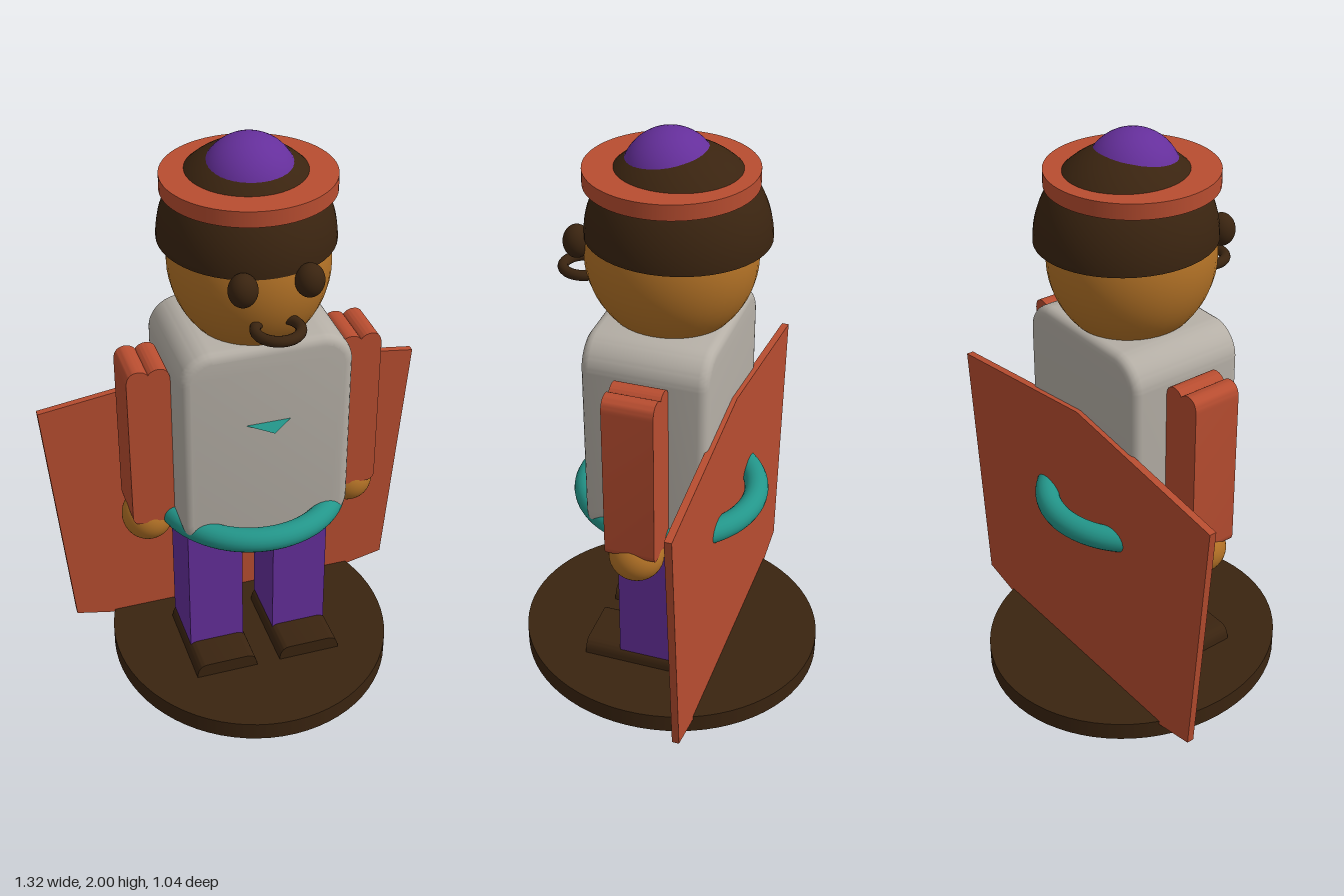
import * as THREE from 'three';
import { toCreasedNormals } from 'three/addons/utils/BufferGeometryUtils.js';

const material = (name, color, side = THREE.FrontSide) => {
  const m = new THREE.MeshStandardMaterial({ color, side });
  m.name = name;
  return m;
};

// Rectangle with rounded corners, centred on the origin
function roundedRect(w, h, r) {
  const s = new THREE.Shape();
  s.absarc(w - r, h - r, r, 0, Math.PI / 2);
  s.absarc(r - w, h - r, r, Math.PI / 2, Math.PI);
  s.absarc(r - w, r - h, r, Math.PI, Math.PI * 1.5);
  s.absarc(w - r, r - h, r, Math.PI * 1.5, Math.PI * 2);
  s.closePath();
  return s;
}

// Extrusion along z from z0 to z1, bevel included in the length
function extrude(shape, z0, z1, bevel = 0) {
  const geo = new THREE.ExtrudeGeometry(shape, {
    depth: z1 - z0 - 2 * bevel, curveSegments: 10,
    bevelEnabled: bevel > 0, bevelSize: bevel, bevelThickness: bevel, bevelSegments: 4,
  });
  geo.translate(0, 0, z0 + bevel);
  return toCreasedNormals(geo, 0.6);
}

export function createModel() {
  const model = new THREE.Group();
  const dark = material('dark brown', 0x3a2410, THREE.DoubleSide);
  const rust = material('rust', 0xb84d30);
  const purple = material('purple', 0x652f9b);
  const grey = material('warm grey', 0xb5afa6);
  const teal = material('teal', 0x23968a, THREE.DoubleSide);
  const skin = material('skin', 0xb37226);

  const add = (name, geo, mat, x = 0, y = 0, z = 0) => {
    const mesh = new THREE.Mesh(geo, mat);
    mesh.name = name;
    mesh.position.set(x, y, z);
    model.add(mesh);
    return mesh;
  };
  const ball = (name, mat, x, y, z, rx, ry, rz) =>
    add(name, new THREE.SphereGeometry(1, 40, 28), mat, x, y, z).scale.set(rx, ry, rz);

  // Oval base
  add('base', new THREE.CylinderGeometry(1, 1, 0.065, 72), dark, 0, 0.083, 0).scale.set(0.483, 1, 0.52);

  // Flat cape, its tip passing down through the base
  const cape = new THREE.Shape([[-0.66, 1.02], [-0.585, 0.135], [0, 0.003], [0.585, 0.135], [0.66, 1.02], [0, 1.11]]
    .map(([x, y]) => new THREE.Vector2(x, y)));
  add('cape', extrude(cape, -0.221, -0.197), rust);

  // Torso, belt and the small flat chest tab
  add('torso', extrude(roundedRect(0.25, 0.338, 0.075), -0.205, 0.205, 0.03), grey, 0, 1.028, 0);
  add('belt', new THREE.TorusGeometry(0.287, 0.04, 20, 72), teal, 0, 0.72, 0).rotation.x = Math.PI / 2;
  const tab = new THREE.Shape([[-0.09, -0.19], [0.09, -0.19], [0, -0.27]].map(([x, y]) => new THREE.Vector2(x, y)));
  add('chestTab', new THREE.ShapeGeometry(tab), teal, 0, 1.12, 0).rotation.x = -Math.PI / 2;

  // Sleeve outline with a shallow notch at the shoulder
  const sleeve = new THREE.Shape();
  sleeve.moveTo(-0.04, 0.715);
  sleeve.lineTo(0.04, 0.715);
  sleeve.quadraticCurveTo(0.07, 0.715, 0.07, 0.745);
  sleeve.lineTo(0.07, 1.255);
  sleeve.quadraticCurveTo(0.07, 1.303, 0.03, 1.302);
  sleeve.quadraticCurveTo(0.01, 1.3, 0, 1.285);
  sleeve.quadraticCurveTo(-0.01, 1.3, -0.03, 1.302);
  sleeve.quadraticCurveTo(-0.07, 1.303, -0.07, 1.255);
  sleeve.lineTo(-0.07, 0.745);
  sleeve.quadraticCurveTo(-0.07, 0.715, -0.04, 0.715);

  // Shoe front outline with rounded upper corners
  const shoe = new THREE.Shape();
  shoe.moveTo(-0.108, 0.11);
  shoe.lineTo(0.108, 0.11);
  shoe.quadraticCurveTo(0.108, 0.165, 0.07, 0.165);
  shoe.lineTo(-0.07, 0.165);
  shoe.quadraticCurveTo(-0.108, 0.165, -0.108, 0.11);

  for (const [side, s] of [['left', 1], ['right', -1]]) {
    add(side + 'Arm', extrude(sleeve, -0.083, 0.083), rust, s * 0.35, 0, 0);
    ball(side + 'Hand', skin, s * 0.353, 0.69, 0, 0.086, 0.086, 0.09);
    add(side + 'Leg', new THREE.BoxGeometry(0.19, 0.57, 0.212), purple, s * 0.15, 0.395, 0);
    add(side + 'Shoe', extrude(shoe, -0.1, 0.23), dark, s * 0.149, 0, 0);
    ball(side + 'Eye', dark, s * 0.102, 1.643, 0.268, 0.045, 0.053, 0.043);
  }

  // Head and mouth ring, half sunk into the face
  ball('head', skin, 0, 1.605, 0, 0.252, 0.29, 0.272);
  add('mouth', new THREE.TorusGeometry(0.068, 0.017, 14, 40), dark, 0, 1.505, 0.287).rotation.x = Math.PI / 2;

  // Hair dome, hat brim and crown
  const dome = new THREE.SphereGeometry(1, 48, 20, 0, Math.PI * 2, 0, Math.PI / 2);
  add('hair', dome, dark, 0, 1.665, -0.022).scale.set(0.275, 0.297, 0.289);
  add('hatBrim', new THREE.CylinderGeometry(0.267, 0.267, 0.05, 64), rust, 0, 1.859, 0);
  ball('hatCrown', purple, 0, 1.85, 0.003, 0.15, 0.15, 0.15);

  return model;
}
